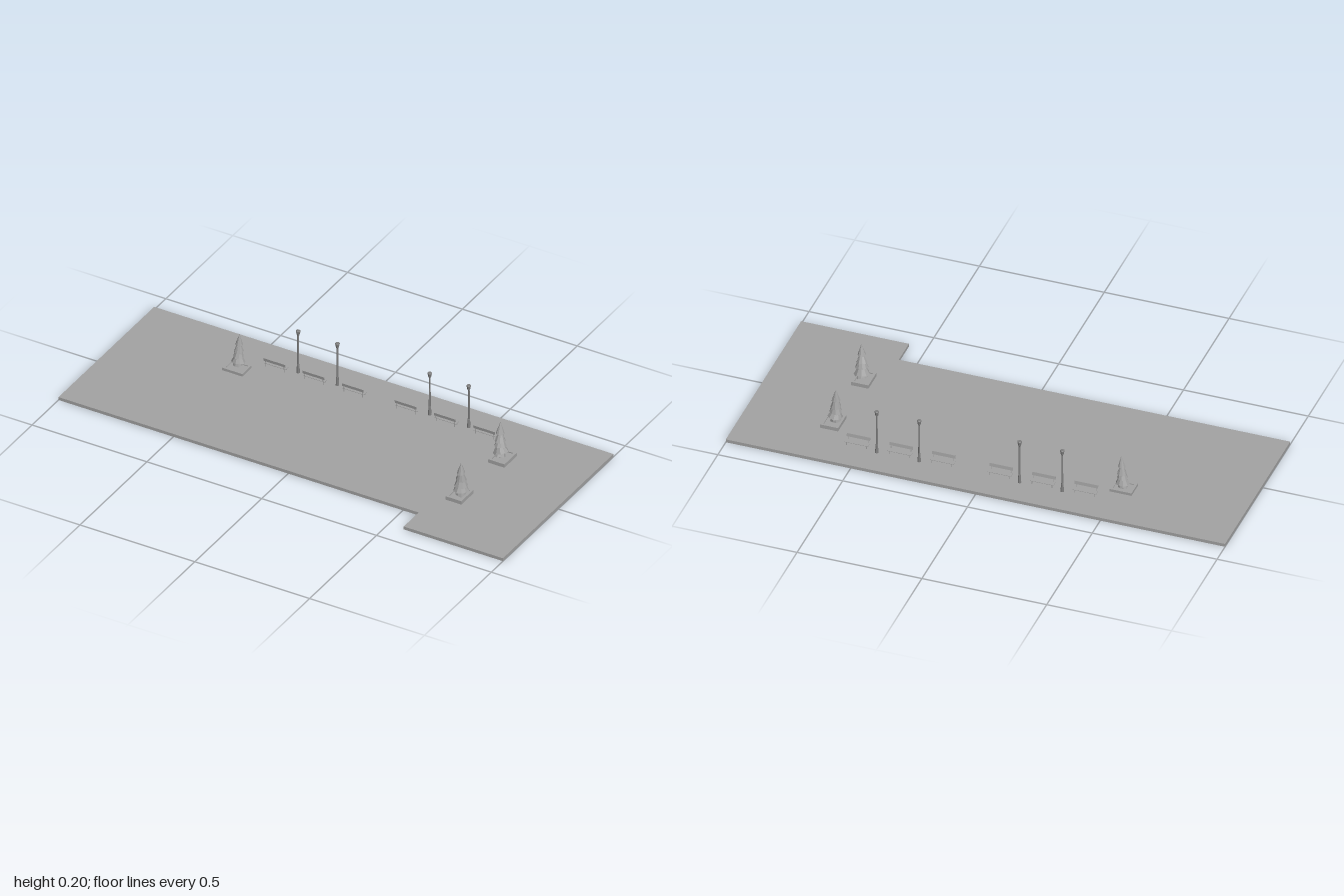
import * as THREE from 'three';

const makeMaterial = (color) => new THREE.MeshStandardMaterial({ color, flatShading: true, side: THREE.DoubleSide });
const stone = makeMaterial(0xa3a3a3);
const metal = makeMaterial(0x808080);
const GROUND = 0.013;

function add(parent, name, geometry, material, x = 0, y = 0, z = 0) {
  const mesh = new THREE.Mesh(geometry, material);
  mesh.name = name;
  mesh.position.set(x, y, z);
  parent.add(mesh);
  return mesh;
}

function group(parent, name, x, y, z) {
  const g = new THREE.Group();
  g.name = name;
  g.position.set(x, y, z);
  parent.add(g);
  return g;
}

function seeded(seed) {
  return () => {
    seed = (seed * 16807) % 2147483647;
    return seed / 2147483647;
  };
}

// Flat plaza slab with a step along the front edge
function buildPlaza(parent) {
  const outline = [[-1, 0.413], [-1, -0.302], [0.568, -0.302], [0.568, -0.413], [1, -0.413], [1, 0.413]];
  const shape = new THREE.Shape(outline.map(([x, y]) => new THREE.Vector2(x, y)));
  const slab = new THREE.ExtrudeGeometry(shape, { depth: GROUND, bevelEnabled: false });
  add(parent, 'plaza', slab.rotateX(-Math.PI / 2), stone);
}

// Low square planter: rim with a slightly sunken bed
function buildPlanter(parent, x, z, w, d, h) {
  const planter = group(parent, 'planter', x, GROUND, z);
  const t = 0.01;
  for (const s of [-1, 1]) {
    add(planter, 'planterRim', new THREE.BoxGeometry(w, h, t), stone, 0, h / 2, s * (d - t) / 2);
    add(planter, 'planterRim', new THREE.BoxGeometry(t, h, d - 2 * t), stone, s * (w - t) / 2, h / 2, 0);
  }
  add(planter, 'planterBed', new THREE.BoxGeometry(w - 2 * t, h * 0.7, d - 2 * t), stone, 0, h * 0.35, 0);
}

// Low-poly conifer made of jagged tiers, the whole tree leaning a little
function buildTree(parent, x, z, top, width, leanX, leanZ, seed) {
  const tree = group(parent, 'tree', x, GROUND, z);
  tree.rotation.set(leanX, 0, leanZ);
  const H = top - GROUND;
  const rand = seeded(seed);
  add(tree, 'trunk', new THREE.CylinderGeometry(0.005, 0.007, H * 0.5, 7), stone, 0, H * 0.25, 0);
  // bottom height, top height, bottom radius, top radius
  const tiers = [
    [0.1, 0.28, 0.022, 0.013], [0.2, 0.42, 0.03, 0.012], [0.36, 0.58, 0.025, 0.01],
    [0.5, 0.74, 0.0215, 0.007], [0.7, 1.0, 0.0165, 0.0005],
  ];
  for (const [a, b, r0, r1] of tiers) {
    const h = (b - a) * H;
    const geo = new THREE.CylinderGeometry(r1 * width, r0 * width, h, 9);
    const jag = Array.from({ length: 9 }, () => rand());
    const pos = geo.attributes.position;
    for (let i = 0; i < pos.count; i++) {
      const px = pos.getX(i), py = pos.getY(i), pz = pos.getZ(i);
      if (py > 0 || Math.hypot(px, pz) < 1e-5) continue;
      const k = (Math.round(Math.atan2(px, pz) / (Math.PI * 2) * 9) + 9) % 9;
      const f = 0.9 + 0.2 * jag[k];
      pos.setXYZ(i, px * f, py + (0.5 - jag[k]) * 0.006, pz * f);
    }
    const tier = add(tree, 'foliageTier', geo, stone, 0, (a + b) / 2 * H, 0);
    const tilt = b < 1 ? 0.2 : 0.06;
    tier.rotation.set((rand() - 0.5) * tilt, rand() * 6, (rand() - 0.5) * tilt);
  }
}

// Light bench: thin seat, one back board on its front (+z) side, slim legs
function buildBench(parent, x) {
  const bench = group(parent, 'bench', x, GROUND, -0.281);
  const W = 0.094;
  add(bench, 'seat', new THREE.BoxGeometry(W, 0.0016, 0.022), stone, 0, 0.0137, -0.001);
  add(bench, 'backBoard', new THREE.BoxGeometry(W, 0.013, 0.0012), stone, 0, 0.0315, 0.0125).rotation.x = 0.16;
  for (const s of [-1, 1]) {
    const sx = s * 0.04;
    for (const z of [-0.01, 0.009]) {
      add(bench, 'leg', new THREE.BoxGeometry(0.002, 0.013, 0.0016), stone, sx, 0.0065, z);
    }
    add(bench, 'backPost', new THREE.BoxGeometry(0.002, 0.013, 0.0012), stone, sx, 0.0195, 0.0103).rotation.x = 0.16;
  }
}

// Street lamp: stepped post, flared lantern and cap
function buildLamp(parent, x) {
  const lamp = group(parent, 'lamp', x, GROUND, -0.298);
  const lathe = (pts) => new THREE.LatheGeometry(pts.map(([r, y]) => new THREE.Vector2(r, y)), 8);
  add(lamp, 'post', lathe([
    [0, 0], [0.007, 0], [0.0065, 0.008], [0.0052, 0.034], [0.004, 0.038],
    [0.0037, 0.167], [0.005, 0.169], [0.005, 0.172], [0, 0.172],
  ]), metal);
  add(lamp, 'lantern', lathe([[0, 0.172], [0.006, 0.172], [0.0082, 0.184], [0, 0.184]]), metal);
  add(lamp, 'lanternCap', lathe([[0, 0.184], [0.0092, 0.184], [0.0092, 0.187], [0.007, 0.19], [0, 0.19]]), metal);
}

export function createModel() {
  const model = new THREE.Group();
  model.name = 'plazaWithTrees';
  buildPlaza(model);

  buildPlanter(model, -0.517, -0.2025, 0.088, 0.07, 0.011);
  buildTree(model, -0.518, -0.21, 0.167, 0.88, -0.01, -0.05, 11);
  buildPlanter(model, 0.657, -0.172, 0.072, 0.094, 0.015);
  buildTree(model, 0.649, -0.169, 0.173, 0.98, -0.06, 0.03, 29);
  buildPlanter(model, 0.645, 0.129, 0.07, 0.091, 0.015);
  buildTree(model, 0.652, 0.128, 0.173, 1, 0.055, -0.03, 53);

  for (const x of [-0.392, -0.222, -0.051, 0.179, 0.35, 0.521]) buildBench(model, x);
  for (const x of [-0.306, -0.135, 0.267, 0.437]) buildLamp(model, x);
  return model;
}
